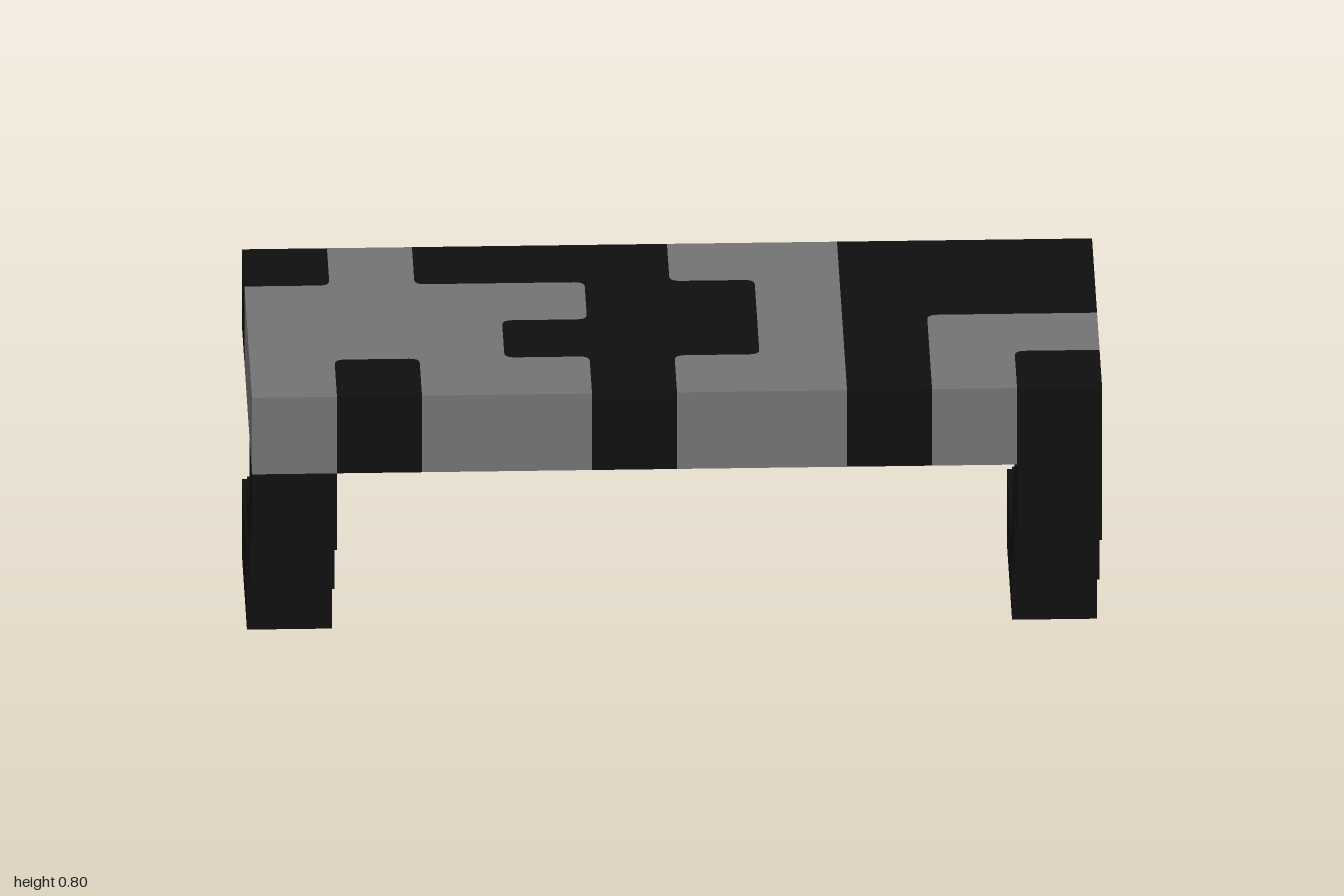
import * as THREE from 'three';

const U = 0.2; // one block
const R = 0.12; // corner rounding inside the pattern, in blocks

// Outlines in block units (x 0..10 from the right end, z 0..4 from the back)
const darkPatches = [
  [[0, 0], [1, 0], [1, 1], [0, 1]],
  [[2, 0], [5, 0], [5, 1], [6, 1], [6, 3], [5, 3], [5, 4], [4, 4], [4, 3], [3, 3], [3, 2], [4, 2], [4, 1], [2, 1]],
  [[7, 0], [10, 0], [10, 2], [8, 2], [8, 4], [7, 4]],
  [[1, 3], [2, 3], [2, 4], [1, 4]],
  [[9, 3], [10, 3], [10, 4], [9, 4]],
];
const greyPatches = [
  [[0, 1], [1, 1], [1, 0], [2, 0], [2, 1], [4, 1], [4, 2], [3, 2], [3, 3], [4, 3], [4, 4], [2, 4], [2, 3], [1, 3], [1, 4], [0, 4]],
  [[5, 0], [7, 0], [7, 4], [5, 4], [5, 3], [6, 3], [6, 1], [5, 1]],
  [[8, 2], [10, 2], [10, 3], [9, 3], [9, 4], [8, 4]],
];

// Outline with every corner rounded except those on the slab's rim
function patchShape(points) {
  const shape = new THREE.Shape();
  const pts = points.map(([x, z]) => new THREE.Vector2(x - 5, z - 2));
  pts.forEach((p, i) => {
    const prev = pts[(i + pts.length - 1) % pts.length];
    const next = pts[(i + 1) % pts.length];
    const onRim = Math.abs(p.x) === 5 || Math.abs(p.y) === 2;
    const r = onRim ? 0 : R;
    const a = p.clone().add(prev.clone().sub(p).normalize().multiplyScalar(r)).multiplyScalar(U);
    const b = p.clone().add(next.clone().sub(p).normalize().multiplyScalar(r)).multiplyScalar(U);
    if (i === 0) shape.moveTo(a.x, a.y);
    else shape.lineTo(a.x, a.y);
    if (!onRim) shape.quadraticCurveTo(p.x * U, p.y * U, b.x, b.y);
  });
  shape.closePath();
  return shape;
}

export function createModel() {
  const model = new THREE.Group();
  const dark = new THREE.MeshStandardMaterial({ color: 0x0e0e0e });
  dark.name = 'black';
  const grey = new THREE.MeshStandardMaterial({ color: 0x727273 });
  grey.name = 'grey';

  // Patchwork slab
  const slab = new THREE.Group();
  slab.name = 'slab';
  const addPatches = (list, material, name) => {
    for (const points of list) {
      const geo = new THREE.ExtrudeGeometry(patchShape(points), { depth: U, bevelEnabled: false, curveSegments: 4 });
      geo.rotateX(Math.PI / 2); // outline y becomes z, depth runs down
      geo.translate(0, 4 * U, 0);
      const mesh = new THREE.Mesh(geo, material);
      mesh.name = name;
      slab.add(mesh);
    }
  };
  addPatches(darkPatches, dark, 'darkPatch');
  addPatches(greyPatches, grey, 'greyPatch');
  model.add(slab);

  // Stepped legs running down and back: [name, y, z, length]
  const steps = [
    ['upperLeg', 0.5, 0.3, U],
    ['lowerLeg', 0.3, 0.1, U],
    ['foot', 0.1, -0.2, 2 * U],
  ];
  for (const side of [-1, 1]) {
    const leg = new THREE.Group();
    leg.name = side > 0 ? 'leftLeg' : 'rightLeg';
    for (const [name, y, z, length] of steps) {
      const block = new THREE.Mesh(new THREE.BoxGeometry(U, U, length), dark);
      block.name = name;
      block.position.set(side * 0.9, y, z);
      leg.add(block);
    }
    model.add(leg);
  }
  return model;
}
